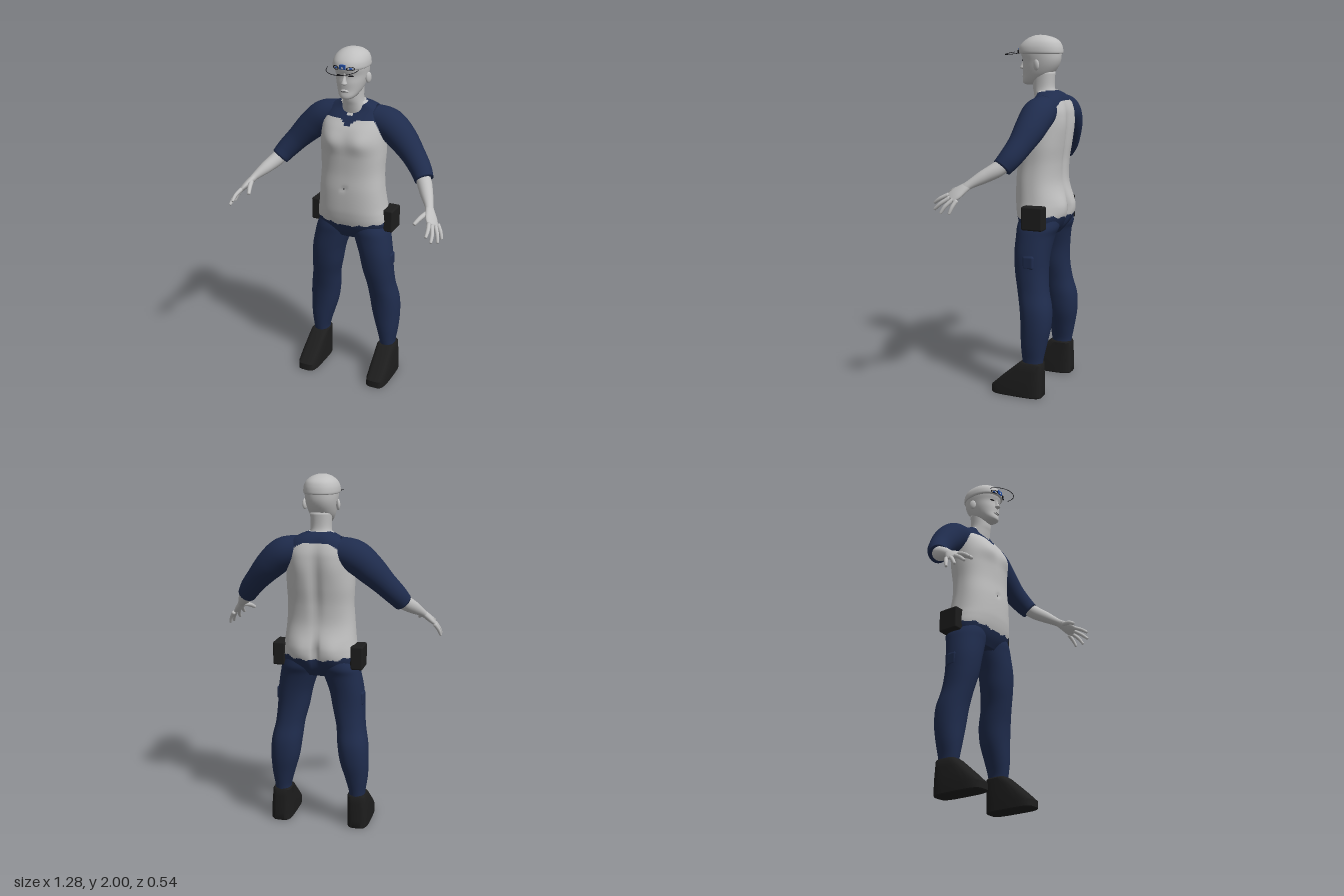
import * as THREE from 'three';
import { toCreasedNormals } from 'three/addons/utils/BufferGeometryUtils.js';
import { RoundedBoxGeometry } from 'three/addons/geometries/RoundedBoxGeometry.js';

const V = (x, y, z) => new THREE.Vector3(x, y, z);
const mat = (name, color) => Object.assign(new THREE.MeshStandardMaterial({ color }), { name });
const gauss = (d, s) => Math.exp(-(d * d) / (s * s));

// Skins a list of closed rings; paint(centre) picks the material index of each quad.
function skin(rings, paint = () => 0) {
  const n = rings[0].length, pos = [], faces = [[], []];
  rings.flat().forEach((p) => pos.push(p.x, p.y, p.z));
  for (let j = 0; j < rings.length - 1; j++) {
    for (let i = 0; i < n; i++) {
      const k = (i + 1) % n, a = j * n + i, b = j * n + k, c = a + n, d = b + n;
      const mid = rings[j][i].clone().add(rings[j + 1][k]).multiplyScalar(0.5);
      faces[paint(mid)].push(a, c, b, b, c, d);
    }
  }
  [0, rings.length - 1].forEach((j) => {
    const mid = V(0, 0, 0);
    rings[j].forEach((p) => mid.addScaledVector(p, 1 / n));
    const m = pos.length / 3, f = faces[paint(mid)];
    pos.push(mid.x, mid.y, mid.z);
    for (let i = 0; i < n; i++) {
      const a = j * n + i, b = j * n + (i + 1) % n;
      if (j) f.push(a, m, b); else f.push(a, b, m);
    }
  });
  const geo = new THREE.BufferGeometry();
  geo.setAttribute('position', new THREE.Float32BufferAttribute(pos, 3));
  geo.setIndex([...faces[0], ...faces[1]]);
  geo.addGroup(0, faces[0].length, 0);
  if (faces[1].length) geo.addGroup(faces[0].length, faces[1].length, 1);
  geo.computeVertexNormals();
  return geo;
}

// Upright loft through rows of [y, half width, front z, back z, centre x].
function loftRings(rows, { n = 40, sub = 6, e = 2.2, side = 1, shape = (p) => p } = {}) {
  const A = new THREE.CatmullRomCurve3(rows.map((r) => V(r[0], r[1], (r[4] || 0) * side)), false, 'catmullrom');
  const B = new THREE.CatmullRomCurve3(rows.map((r) => V(r[2], r[3], 0)), false, 'catmullrom');
  const steps = (rows.length - 1) * sub;
  const pw = (v) => Math.sign(v) * Math.abs(v) ** (2 / e);
  return Array.from({ length: steps + 1 }, (_, j) => {
    const a = A.getPoint(j / steps), b = B.getPoint(j / steps);
    return Array.from({ length: n }, (_, i) => {
      const t = (i / n) * Math.PI * 2;
      return shape(V(a.z + a.y * pw(Math.cos(t)), a.x, (b.x + b.y) / 2 + ((b.x - b.y) / 2) * pw(Math.sin(t))));
    });
  });
}

// Tapered limb through points [x, y, z, wide radius, thin radius].
function limb(points, side, n = 24, steps = 30) {
  const path = new THREE.CatmullRomCurve3(points.map((p) => V(p[0] * side, p[1], p[2])));
  const radii = new THREE.CatmullRomCurve3(points.map((p) => V(p[3], p[4] ?? p[3], 0)));
  return skin(Array.from({ length: steps + 1 }, (_, j) => {
    const c = path.getPoint(j / steps), r = radii.getPoint(j / steps), t = path.getTangent(j / steps);
    const s = V(-0.03 * side, 0.02, 0.06);
    s.addScaledVector(t, -s.dot(t)).normalize();
    const u = s.clone().cross(t);
    return Array.from({ length: n }, (_, i) => {
      const a = (i / n) * Math.PI * 2;
      return c.clone().addScaledVector(s, r.x * Math.cos(a)).addScaledVector(u, r.y * Math.sin(a));
    });
  }));
}

export function createModel() {
  const root = new THREE.Group();
  const grey = mat('pale grey skin', 0xbfbfbf), navy = mat('navy cloth', 0x1f2c4d);
  const black = mat('black leather', 0x1d1d1d), blue = mat('blue badge', 0x2450a8), dark = mat('dark line', 0x141418);
  const add = (name, geo, material, x = 0, y = 0, z = 0) => {
    const m = new THREE.Mesh(geo, material);
    m.name = name;
    m.position.set(x, y, z);
    root.add(m);
    return m;
  };
  const blob = (name, material, x, y, z, sx, sy, sz, ry = 0) => {
    const m = add(name, new THREE.SphereGeometry(1, 20, 14), material, x, y, z);
    m.scale.set(sx, sy, sz);
    m.rotation.y = ry;
  };

  // Torso: chest, buttocks and spine are shaped by rule, cloth is painted by face
  const shapeTorso = (p) => {
    const ax = Math.abs(p.x);
    if (p.z > -0.1) {
      p.z += 0.014 * gauss(ax - 0.085, 0.06) * gauss(p.y - 1.49, 0.06);
      p.z -= 0.008 * gauss(p.x, 0.012) * gauss(p.y - 1.215, 0.014);
    } else {
      p.z -= 0.016 * gauss(ax - 0.085, 0.06) * gauss(p.y - 1.05, 0.07);
      p.z += 0.03 * gauss(p.x, 0.014) * gauss(p.y - 1.03, 0.08);
      p.z += 0.016 * gauss(p.x, 0.03) * gauss(p.y - 1.4, 0.2);
      p.z -= 0.012 * gauss(ax - 0.09, 0.06) * gauss(p.y - 1.53, 0.1);
    }
    return p;
  };
  const paintTorso = (p) => {
    const ax = Math.abs(p.x), front = p.z > -0.14;
    const waist = (front ? 0.985 : 1.0) + 0.1 * ax + 0.005 * Math.sin(ax * 90);
    if (p.y < waist) return 1;
    if (front && p.y > 1.615 + ax) return 0;
    const edge = front
      ? 1.605 - 0.035 * gauss(ax, 0.03) - 30 * Math.max(0, ax - 0.13) ** 2
      : 1.645 - 6 * Math.max(0, ax - 0.05) ** 2;
    return p.y > edge ? 1 : 0;
  };
  const torso = [
    [0.9, 0.13, -0.03, -0.19], [0.95, 0.195, 0, -0.23], [1.0, 0.212, 0.018, -0.25], [1.05, 0.208, 0.028, -0.254],
    [1.1, 0.2, 0.032, -0.25], [1.2, 0.19, 0.032, -0.23], [1.3, 0.184, 0.025, -0.232], [1.4, 0.188, 0.026, -0.245],
    [1.48, 0.188, 0.026, -0.25], [1.55, 0.185, 0.003, -0.25], [1.6, 0.18, -0.03, -0.246], [1.65, 0.16, -0.07, -0.23],
    [1.68, 0.11, -0.08, -0.21], [1.7, 0.06, -0.075, -0.18]];
  add('torso', skin(loftRings(torso, { n: 96, sub: 9, e: 2.4, shape: shapeTorso }), paintTorso), [grey, navy]);
  blob('navel', dark, 0, 1.215, 0.025, 0.003, 0.006, 0.003);

  // Neck and head
  add('neck', skin(loftRings([[1.63, 0.075, -0.06, -0.19], [1.68, 0.064, -0.05, -0.175], [1.72, 0.057, -0.042, -0.162],
    [1.8, 0.06, -0.04, -0.165]])), grey);
  add('head', skin(loftRings([[1.728, 0.015, 0.0, -0.05], [1.735, 0.034, 0.017, -0.065], [1.75, 0.05, 0.021, -0.095],
    [1.78, 0.067, 0.017, -0.145], [1.82, 0.079, 0.018, -0.178], [1.86, 0.086, 0.016, -0.196], [1.9, 0.09, 0.028, -0.2],
    [1.94, 0.088, 0.02, -0.195]])), grey);
  add('cap', skin(loftRings([[1.897, 0.088, 0.028, -0.198], [1.901, 0.096, 0.04, -0.208], [1.915, 0.098, 0.042, -0.209],
    [1.94, 0.094, 0.034, -0.204], [1.965, 0.081, 0.012, -0.19], [1.985, 0.057, -0.018, -0.158],
    [1.997, 0.026, -0.05, -0.115], [2.0, 0.004, -0.077, -0.085]])), grey);

  // Face
  add('nose', skin(loftRings([[1.812, 0.006, 0.026, 0], [1.82, 0.017, 0.042, 0], [1.835, 0.011, 0.038, 0],
    [1.86, 0.007, 0.024, 0], [1.885, 0.009, 0.022, 0]], { n: 16 })), grey);
  blob('lips', grey, 0, 1.777, 0.014, 0.024, 0.01, 0.011);
  blob('mouthLine', dark, 0, 1.777, 0.023, 0.018, 0.0015, 0.003);
  for (const s of [1, -1]) {
    blob('eye', dark, s * 0.035, 1.862, 0.01, 0.016, 0.0045, 0.004, s * 0.35);
    blob('ear', grey, s * 0.092, 1.838, -0.095, 0.011, 0.03, 0.02, s * -0.4);
    const ring = add('goggleRim', new THREE.TorusGeometry(0.021, 0.003, 8, 28), dark, s * 0.043, 1.908, 0.034);
    ring.scale.y = 0.45;
    ring.rotation.y = s * 0.5;
    blob('goggleLens', blue, s * 0.043, 1.908, 0.032, 0.01, 0.005, 0.004, s * 0.5);
  }

  // Cap badge and wire brim
  add('capBadge', new RoundedBoxGeometry(0.036, 0.026, 0.009, 2, 0.003), blue, 0, 1.916, 0.042);
  add('capBadgeInset', new THREE.BoxGeometry(0.012, 0.008, 0.004), grey, 0, 1.912, 0.0455);
  const brim = Array.from({ length: 17 }, (_, i) => {
    const a = (i / 16) * Math.PI, z = 0.035 + 0.09 * Math.sin(a);
    return V(0.09 * Math.cos(a), 1.913 - 0.17 * z, z);
  });
  add('brimWire', new THREE.TubeGeometry(new THREE.CatmullRomCurve3(brim), 48, 0.0018, 6), dark);

  for (const s of [1, -1]) {
    // Arm and hand
    add('sleeve', limb([[0.1, 1.6, -0.15, 0.078], [0.2, 1.57, -0.15, 0.09], [0.28, 1.505, -0.14, 0.083],
      [0.36, 1.422, -0.115, 0.067], [0.415, 1.36, -0.085, 0.06], [0.447, 1.316, -0.055, 0.053]], s, 32), navy);
    add('forearm', limb([[0.42, 1.35, -0.08, 0.04], [0.455, 1.308, -0.035, 0.041], [0.495, 1.268, 0.03, 0.035],
      [0.535, 1.227, 0.095, 0.025, 0.021], [0.545, 1.212, 0.115, 0.026, 0.019]], s), grey);
    add('palm', limb([[0.532, 1.23, 0.09, 0.022, 0.018], [0.55, 1.208, 0.12, 0.032, 0.019],
      [0.57, 1.182, 0.152, 0.041, 0.017], [0.585, 1.162, 0.175, 0.037, 0.012], [0.588, 1.158, 0.18, 0.01, 0.004]], s), grey);
    const fingers = [
      [[0.6, 1.155, 0.132], [0.622, 1.12, 0.148], [0.634, 1.085, 0.16]],
      [[0.592, 1.158, 0.155], [0.618, 1.122, 0.19], [0.63, 1.085, 0.213]],
      [[0.582, 1.165, 0.178], [0.602, 1.132, 0.225], [0.608, 1.1, 0.26]],
      [[0.57, 1.178, 0.192], [0.582, 1.154, 0.24], [0.583, 1.13, 0.272]],
      [[0.54, 1.21, 0.125], [0.518, 1.195, 0.185], [0.5, 1.172, 0.228]]];
    fingers.forEach(([a, b, c], i) => {
      const tip = c.map((v, k) => v + (v - b[k]) * 0.05);
      const r = i === 4 ? 0.014 : 0.0115;
      add(i === 4 ? 'thumb' : 'finger', limb([[...a, r], [...b, r * 0.92], [...c, r * 0.65], [...tip, 0.001]], s, 12, 14), grey);
    });

    // Trouser leg, thigh pocket and hip pouch
    add('trouserLeg', skin(loftRings([[0.18, 0.045, -0.08, -0.19, 0.22], [0.22, 0.048, -0.073, -0.196, 0.22],
      [0.3, 0.065, -0.065, -0.212, 0.215], [0.4, 0.082, -0.06, -0.23, 0.203], [0.5, 0.087, -0.05, -0.23, 0.193],
      [0.6, 0.083, -0.03, -0.207, 0.178], [0.7, 0.091, -0.01, -0.196, 0.162], [0.8, 0.098, 0, -0.2, 0.149],
      [0.9, 0.106, 0, -0.217, 0.124], [0.95, 0.106, 0, -0.235, 0.111], [1.0, 0.09, -0.01, -0.235, 0.1]], { side: s })), navy);
    add('thighPocket', new RoundedBoxGeometry(0.03, 0.078, 0.068, 4, 0.014), navy, s * 0.237, 0.768, -0.113);
    add('hipPouch', new RoundedBoxGeometry(0.07, 0.132, 0.124, 3, 0.01), black, s * 0.221, 1.015, -0.137);

    // Boot
    const boot = skin(loftRings([[0, 0.058, 0.1, -0.196, 0.227], [0.006, 0.063, 0.107, -0.2, 0.227],
      [0.045, 0.063, 0.105, -0.2, 0.227], [0.1, 0.06, 0.045, -0.199, 0.226], [0.15, 0.056, -0.013, -0.197, 0.224],
      [0.19, 0.053, -0.06, -0.195, 0.222], [0.198, 0.047, -0.072, -0.19, 0.222]], { side: s, sub: 1, e: 4 }));
    add('boot', toCreasedNormals(boot, 0.6), black);
  }
  return root;
}
